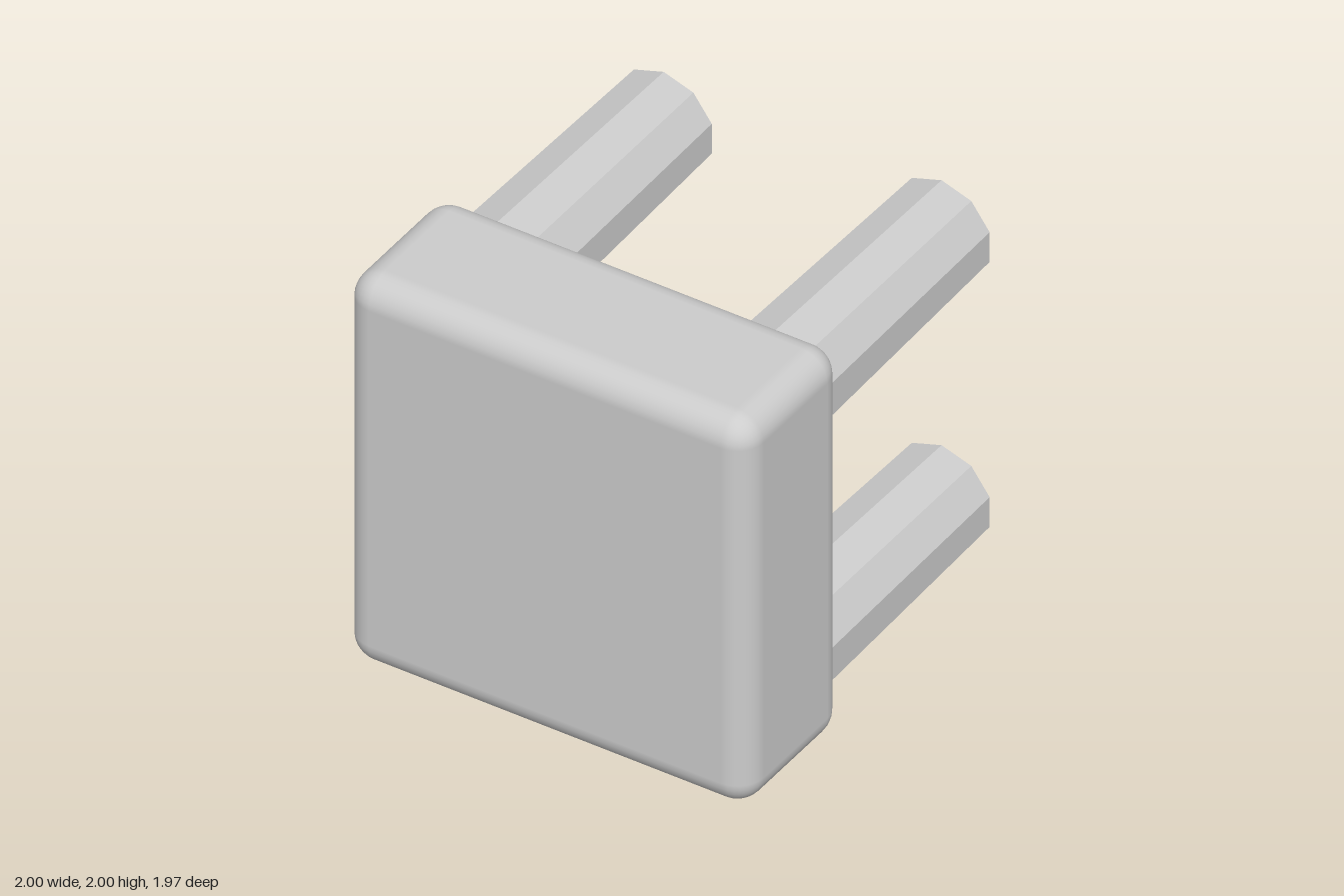
import * as THREE from 'three';
import { RoundedBoxGeometry } from 'three/addons/geometries/RoundedBoxGeometry.js';

export function createModel() {
  const group = new THREE.Group();
  group.name = 'stool';
  const grey = new THREE.MeshStandardMaterial({ color: 0xcccccc });
  grey.name = 'light grey';

  // Thick rounded slab standing upright at the front
  const seat = new THREE.Mesh(new RoundedBoxGeometry(2, 2, 0.745, 4, 0.13), grey);
  seat.name = 'seat';
  seat.position.set(0, 1, 0.6125);
  group.add(seat);

  // Tapered ten-sided legs reaching back, sunk into the slab
  const backZ = -0.985, rootZ = 0.45;
  const legGeometry = new THREE.CylinderGeometry(0.276, 0.25, rootZ - backZ, 10)
    .rotateX(Math.PI / 2)
    .toNonIndexed();
  legGeometry.computeVertexNormals(); // faceted sides

  for (const [side, x] of [['left', 0.687], ['right', -0.687]]) {
    for (const [level, y] of [['upper', 1.692], ['lower', 0.315]]) {
      const leg = new THREE.Mesh(legGeometry, grey);
      leg.name = `${level} ${side} leg`;
      leg.position.set(x, y, (rootZ + backZ) / 2);
      group.add(leg);
    }
  }
  return group;
}
